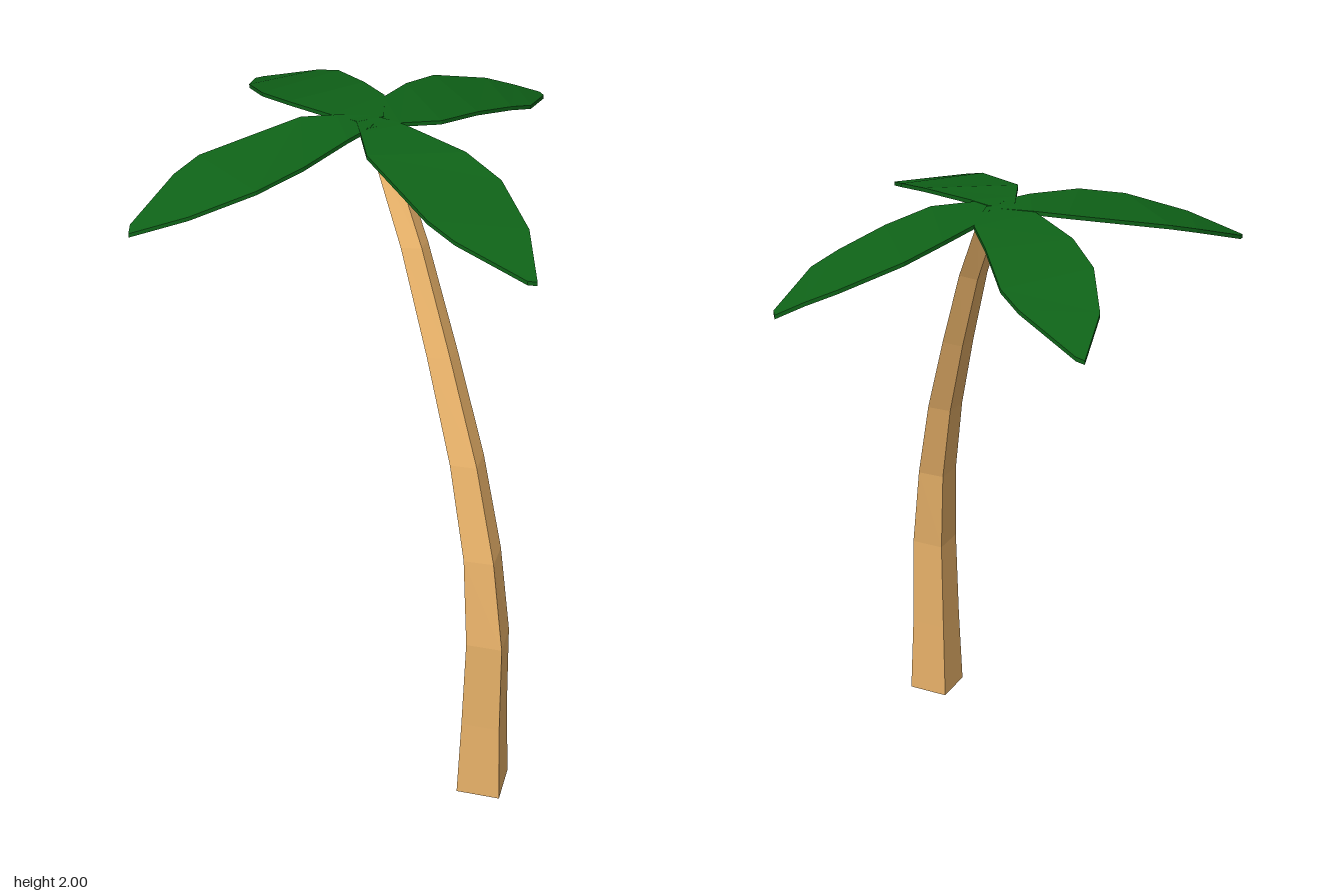
import * as THREE from 'three';

// Skin four-cornered rings into a closed, faceted solid.
function loft(rings) {
  const pos = [];
  const quad = (a, b, c, d) => pos.push(...a, ...b, ...c, ...a, ...c, ...d);
  for (let i = 0; i < rings.length - 1; i++) {
    const lo = rings[i], hi = rings[i + 1];
    for (let k = 0; k < 4; k++) {
      const n = (k + 1) % 4;
      quad(lo[k], hi[k], hi[n], lo[n]);
    }
  }
  quad(...rings[0]);
  quad(...[...rings[rings.length - 1]].reverse());
  const geometry = new THREE.BufferGeometry();
  geometry.setAttribute('position', new THREE.Float32BufferAttribute(pos, 3));
  geometry.computeVertexNormals();
  return geometry;
}

// Leaning trunk: height, z, half width, half depth, tilt of each diamond ring
const TRUNK = [
  [0, 0.665, 0.095, 0.095, 0],
  [0.27, 0.662, 0.083, 0.083, 0],
  [0.58, 0.664, 0.076, 0.076, 0],
  [0.86, 0.62, 0.065, 0.06, 0],
  [1.14, 0.523, 0.058, 0.053, 0],
  [1.425, 0.378, 0.051, 0.044, 0.004],
  [1.705, 0.22, 0.045, 0.04, 0.006],
  [1.95, 0.04, 0.04, 0.022, 0.03],
];

// Leaf outlines from root to tip, as [x, z] pairs: left edge, right edge
// (left and right as seen looking outward along the leaf)
const LEAVES = {
  leftLeaf: [
    [0.05, -0.03, -0.02, 0.03], [0.13, -0.13, 0.08, 0.045], [0.25, -0.2, 0.2, 0.075],
    [0.38, -0.253, 0.35, 0.035], [0.57, -0.255, 0.5, -0.01],
    [0.66, -0.23, 0.59, -0.04], [0.74, -0.21, 0.735, -0.18],
  ],
  rightLeaf: [
    [-0.01, 0.03, 0.06, -0.02], [-0.1, 0.06, -0.05, -0.09], [-0.27, 0.11, -0.14, -0.14],
    [-0.42, 0.113, -0.45, -0.175], [-0.6, 0.055, -0.54, -0.155], [-0.74, -0.04, -0.72, -0.07],
  ],
  frontLeaf: [
    [0.05, -0.01, -0.02, -0.03], [0.085, 0.06, -0.05, 0.045], [0.165, 0.26, -0.097, 0.16],
    [0.19, 0.405, -0.09, 0.47], [0.16, 0.59, -0.06, 0.56], [0.085, 0.745, 0.06, 0.735],
  ],
  backLeaf: [
    [-0.02, -0.02, 0.06, -0.01], [-0.06, -0.1, 0.14, -0.14], [-0.105, -0.28, 0.153, -0.28],
    [-0.11, -0.43, 0.175, -0.47], [-0.06, -0.61, 0.155, -0.56], [0.04, -0.76, 0.06, -0.745],
  ],
};
const THICKNESS = 0.012;

// The blade droops as a parabola along its own main axis.
function leafGeometry(ribs, alongX) {
  return loft(ribs.map(([lx, lz, rx, rz]) => {
    const height = (x, z) => 2 - 0.31 * (alongX ? x : z) ** 2;
    const ly = height(lx, lz), ry = height(rx, rz);
    return [[rx, ry - THICKNESS, rz], [rx, ry, rz], [lx, ly, lz], [lx, ly - THICKNESS, lz]];
  }));
}

export function createModel() {
  const model = new THREE.Group();
  model.name = 'palmTree';
  const bark = new THREE.MeshStandardMaterial({ color: 0xe6b068, flatShading: true });
  const green = new THREE.MeshStandardMaterial({ color: 0x0f6318, flatShading: true });

  const trunk = new THREE.Mesh(loft(TRUNK.map(([y, z, w, d, tilt]) => [
    [0.025 + w, y, z], [0.025, y + tilt, z + d], [0.025 - w, y, z], [0.025, y - tilt, z - d],
  ])), bark);
  trunk.name = 'trunk';
  model.add(trunk);

  // Crown of four leaves
  const crown = new THREE.Group();
  crown.name = 'crown';
  for (const [name, ribs] of Object.entries(LEAVES)) {
    const alongX = name === 'leftLeaf' || name === 'rightLeaf';
    const leaf = new THREE.Mesh(leafGeometry(ribs, alongX), green);
    leaf.name = name;
    crown.add(leaf);
  }
  model.add(crown);
  return model;
}
